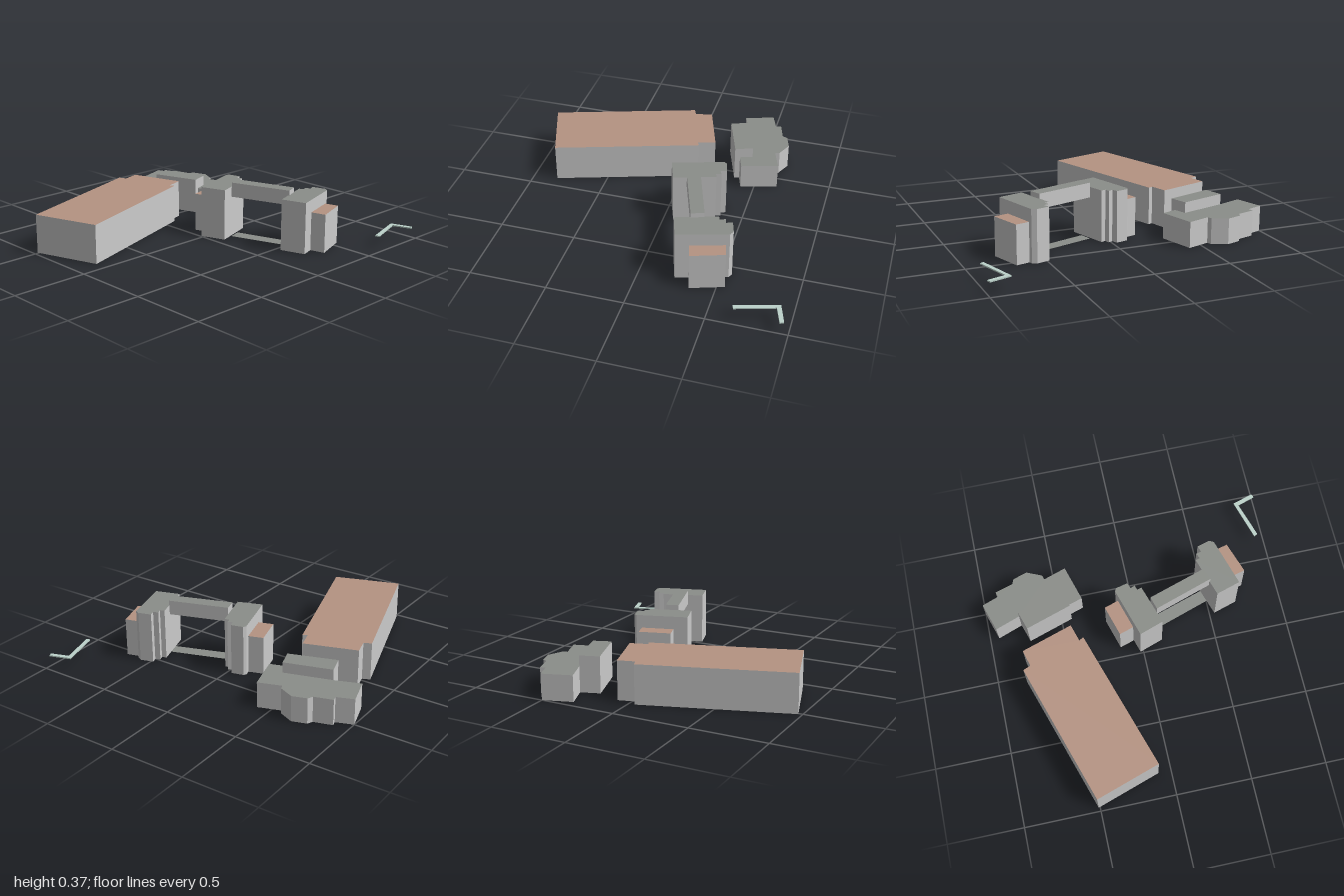
import * as THREE from 'three';

const mat = (color) => new THREE.MeshStandardMaterial({ color, side: THREE.DoubleSide });

// Flat horizontal polygon from [x, z] corners at height y
function slab(points, y) {
  const shape = new THREE.Shape(points.map(([x, z]) => new THREE.Vector2(x, -z)));
  return new THREE.ShapeGeometry(shape).rotateX(-Math.PI / 2).translate(0, y, 0);
}

// Vertical walls along a closed outline (clockwise seen from above), facing out
function wallRing(points, y0, y1) {
  const pos = [];
  points.forEach(([ax, az], i) => {
    const [bx, bz] = points[(i + 1) % points.length];
    pos.push(bx, y0, bz, ax, y0, az, ax, y1, az);
    pos.push(bx, y0, bz, ax, y1, az, bx, y1, bz);
  });
  const geo = new THREE.BufferGeometry();
  geo.setAttribute('position', new THREE.Float32BufferAttribute(pos, 3));
  geo.computeVertexNormals();
  return geo;
}

export function createModel() {
  const root = new THREE.Group();
  root.name = 'buildingGroup';
  const wall = mat(0xcccccc), greyRoof = mat(0x8b8e89);
  const redRoof = mat(0xb59382), pale = mat(0xbcd2ca);

  // Prism with walls and a roof; the underside is open unless closed is set
  function block(name, points, y0, y1, roofMat, wallMat = wall, closed = false) {
    const group = new THREE.Group();
    group.name = name;
    const add = (part, geo, m) => {
      const mesh = new THREE.Mesh(geo, m);
      mesh.name = name + part;
      group.add(mesh);
    };
    add('Walls', wallRing(points, y0, y1), wallMat);
    add('Roof', slab(points, y1), roofMat);
    if (closed) add('Underside', slab(points, y0), roofMat);
    root.add(group);
  }

  // Long hall with a narrower end
  block('hall', [[-0.975, -0.51], [-0.04, -0.81], [-0.02, -0.76], [0.09, -0.79],
    [0.2, -0.45], [0.085, -0.415], [0.1, -0.385], [-0.835, -0.085]], 0, 0.255, redRoof);

  // Low building with a bay, and the taller wing on its side
  block('bayBuilding', [[0.31, -0.94], [0.5, -1], [0.54, -0.89], [0.575, -0.9],
    [0.61, -0.78], [0.645, -0.765], [0.675, -0.67], [0.63, -0.57], [0.6, -0.56],
    [0.65, -0.41], [0.41, -0.34], [0.28, -0.745], [0.37, -0.775]], 0, 0.17, greyRoof);
  block('sideWing', [[0.245, -0.735], [0.37, -0.775], [0.46, -0.47], [0.345, -0.43]],
    0, 0.24, greyRoof);

  // Two towers with stepped sides
  block('backTower', [[0.01, -0.02], [0.34, -0.12], [0.36, -0.11], [0.38, -0.03],
    [0.34, -0.015], [0.355, 0.015], [0.32, 0.025], [0.33, 0.055], [0.065, 0.14]],
    0, 0.34, greyRoof);
  block('frontTower', [[0.18, 0.535], [0.445, 0.45], [0.455, 0.48], [0.49, 0.465],
    [0.5, 0.5], [0.54, 0.485], [0.565, 0.57], [0.55, 0.6], [0.23, 0.695]],
    0, 0.34, greyRoof);

  // Lower annexes against the towers
  block('backAnnex', [[0.07, -0.145], [0.275, -0.205], [0.305, -0.11], [0.1, -0.05]],
    0, 0.255, redRoof);
  block('frontAnnex', [[0.315, 0.67], [0.525, 0.6], [0.55, 0.695], [0.34, 0.765]],
    0, 0.255, redRoof);

  // Raised bridge between the towers, with a ground strip below it
  const span = [[0.15, 0.12], [0.235, 0.095], [0.36, 0.48], [0.28, 0.51]];
  block('bridge', span, 0.275, 0.372, greyRoof, wall, true);
  const strip = new THREE.Mesh(slab(span, 0), greyRoof);
  strip.name = 'groundStrip';
  root.add(strip);

  // Thin angled canopy
  block('canopy', [[0.65, 0.93], [0.925, 0.85], [0.97, 0.99], [0.945, 1],
    [0.905, 0.88], [0.66, 0.955]], 0.077, 0.085, pale, pale, true);

  return root;
}
